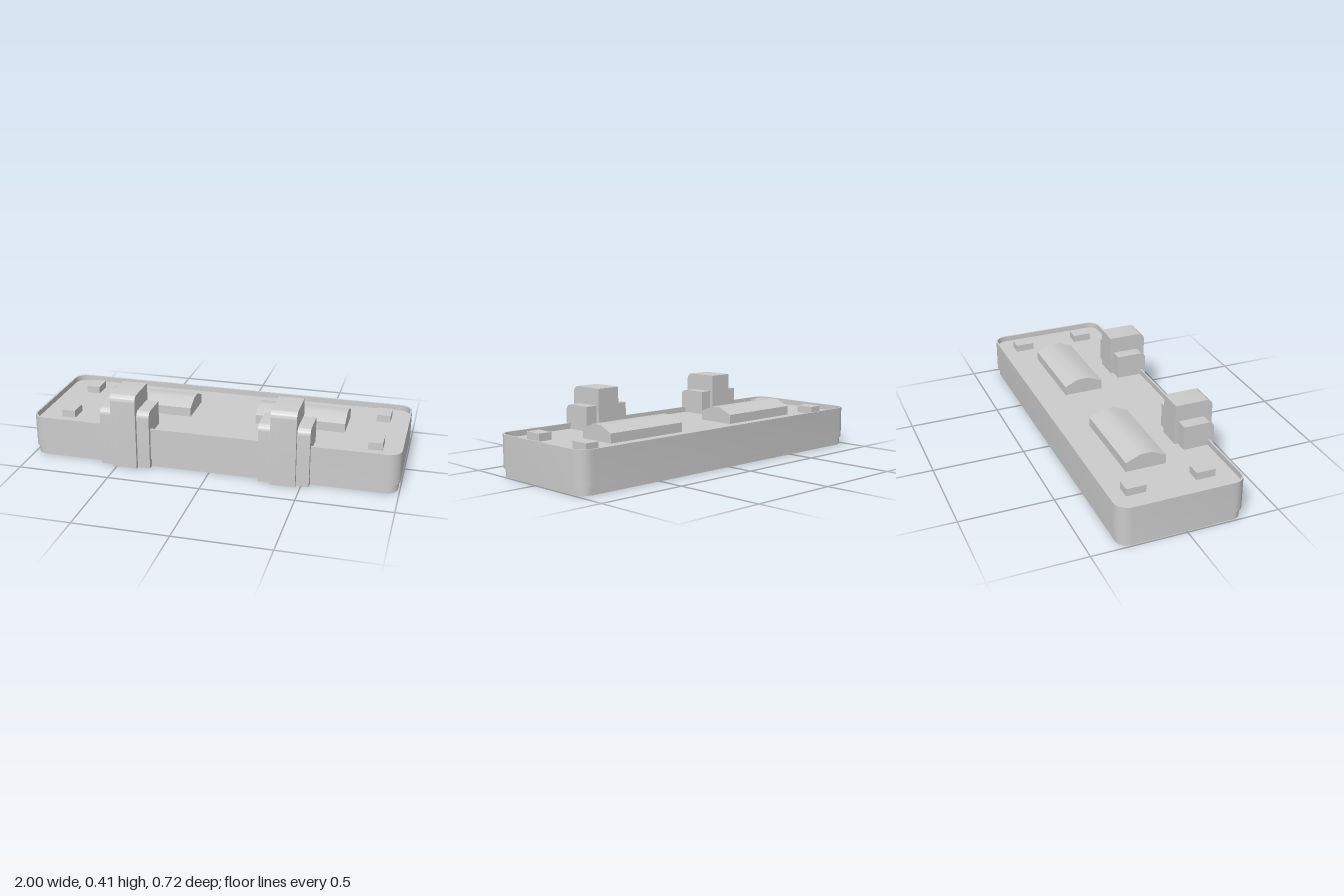
import * as THREE from 'three';
import { toCreasedNormals } from 'three/addons/utils/BufferGeometryUtils.js';

const material = new THREE.MeshStandardMaterial({ color: 0xcccccc });
const X = 1, BACK = -0.36, FRONT = 0.317, RADIUS = 0.07;
const DECK = 0.19, WALL = 0.01;

function add(parent, geometry, name) {
  const mesh = new THREE.Mesh(geometry, material);
  mesh.name = name;
  parent.add(mesh);
  return mesh;
}

// Rounded footprint of the tray, shrunk by an inset; shape y is -z
function footprint(inset, PathType = THREE.Shape) {
  const p = new PathType();
  const x = X - inset, top = -BACK - inset, bottom = -FRONT + inset, r = RADIUS - inset;
  const q = Math.PI / 2;
  p.moveTo(x, bottom + r);
  p.absarc(x - r, top - r, r, 0, q);
  p.absarc(-x + r, top - r, r, q, 2 * q);
  p.absarc(-x + r, bottom + r, r, 2 * q, 3 * q);
  p.absarc(x - r, bottom + r, r, 3 * q, 4 * q);
  return p;
}

// Horizontal slab or ring between two heights
function layer(outer, inner, y0, y1) {
  const shape = footprint(outer);
  if (inner !== null) shape.holes.push(footprint(inner, THREE.Path));
  const g = new THREE.ExtrudeGeometry(shape, { depth: y1 - y0, bevelEnabled: false, curveSegments: 3 });
  g.rotateX(-Math.PI / 2).translate(0, y0, 0);
  return toCreasedNormals(g, 0.6);
}

// Extrude a (z, y) outline along x between x0 and x1
function extrudeAlongX(shape, x0, x1) {
  const g = new THREE.ExtrudeGeometry(shape, { depth: x1 - x0, bevelEnabled: false, curveSegments: 6 });
  g.rotateY(-Math.PI / 2).translate(x1, 0, 0);
  return toCreasedNormals(g, 0.6);
}

// Clip outline with a rounded top front corner
function clipShape(back, front, height, r) {
  const s = new THREE.Shape();
  s.moveTo(back, 0);
  s.lineTo(front, 0);
  s.lineTo(front, height - r);
  s.absarc(front - r, height - r, r, 0, Math.PI / 2);
  s.lineTo(back, height);
  s.closePath();
  return s;
}

// The same outline as a thin strip, open at the bottom
function clipStrip(back, front, height, r, t) {
  const s = new THREE.Shape();
  s.moveTo(front - t, 0);
  s.lineTo(front, 0);
  s.lineTo(front, height - r);
  s.absarc(front - r, height - r, r, 0, Math.PI / 2);
  s.lineTo(back, height);
  s.lineTo(back, 0);
  s.lineTo(back + t, 0);
  s.lineTo(back + t, height - t);
  s.lineTo(front - r, height - t);
  s.absarc(front - r, height - r, r - t, Math.PI / 2, 0, true);
  s.closePath();
  return s;
}

// Hollow clip section: bent strip plus two side plates
function hollowClip(parent, name, x0, x1, back, front, height) {
  const section = new THREE.Group();
  section.name = name;
  const t = 0.014, r = 0.036;
  add(section, extrudeAlongX(clipStrip(back, front, height, r, t), x0 + t, x1 - t), name + 'Strip');
  for (const x of [x0, x1 - t])
    add(section, extrudeAlongX(clipShape(back, front, height, r), x, x + t), name + 'SidePlate');
  parent.add(section);
}

export function createModel() {
  const model = new THREE.Group();
  model.name = 'trayLid';

  // Open-bottomed tray: outer wall with rim, inset lower lip, recessed deck
  const tray = new THREE.Group();
  tray.name = 'tray';
  add(tray, layer(0, WALL, 0.045, 0.22), 'outerWall');
  add(tray, layer(WALL, 2 * WALL, 0, DECK - 0.005), 'lowerLip');
  add(tray, layer(WALL / 2, null, DECK - 0.01, DECK), 'deck');
  model.add(tray);

  // Raised ridges with sloping shoulders
  const ridge = new THREE.Shape([
    [-0.183, DECK - 0.005], [0.033, DECK - 0.005], [0.033, 0.24],
    [-0.045, 0.273], [-0.107, 0.273], [-0.183, 0.24],
  ].map(([z, y]) => new THREE.Vector2(z, y)));
  for (const [x0, x1] of [[-0.67, -0.18], [0.187, 0.675]])
    add(model, extrudeAlongX(ridge, x0, x1), 'ridge');

  // Small pads near the corners
  for (const x of [-0.828, 0.858])
    for (const z of [-0.213, 0.157]) {
      const h = 0.23 - DECK + 0.005;
      add(model, new THREE.BoxGeometry(0.075, h, 0.104), 'cornerPad')
        .position.set(x, 0.23 - h / 2, z);
    }

  // Front clips: tall centre section between two lower shoulders
  for (const x of [-0.455, 0.406]) {
    const clip = new THREE.Group();
    clip.name = 'frontClip';
    hollowClip(clip, 'clipCentre', -0.068, 0.068, 0.152, 0.36, 0.412);
    hollowClip(clip, 'clipLeftShoulder', 0.068, 0.136, 0.17, 0.34, 0.321);
    hollowClip(clip, 'clipRightShoulder', -0.136, -0.068, 0.17, 0.34, 0.321);
    clip.position.x = x;
    model.add(clip);
  }
  return model;
}
